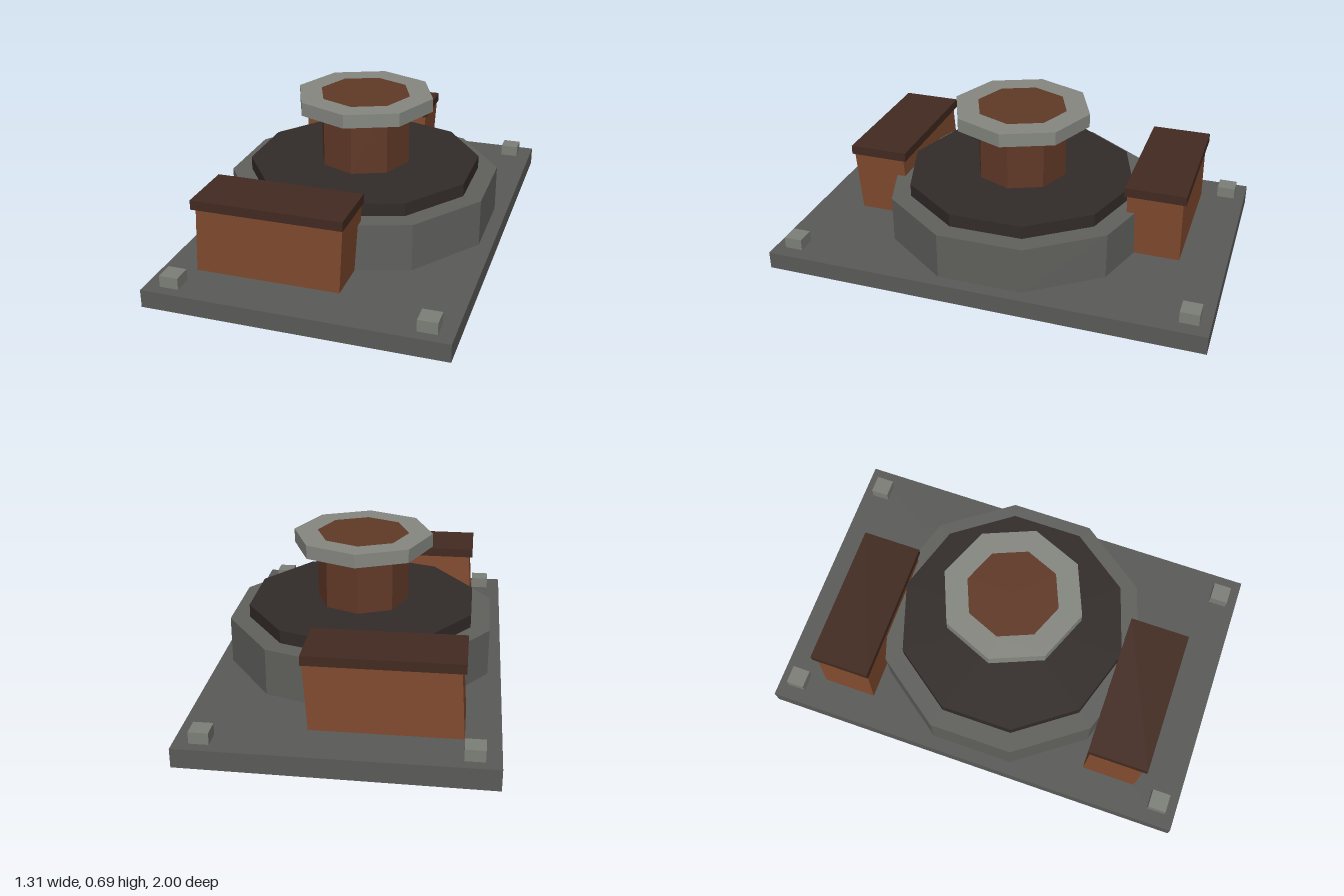
import * as THREE from 'three';

const paint = (color) => new THREE.MeshStandardMaterial({ color, flatShading: true });
const mats = {
  base: paint(0x5a5a58),
  housing: paint(0x60605d),
  disc: paint(0x322b29),
  shaft: paint(0x613927),
  collar: paint(0x868881),
  body: paint(0x824b2f),
  lid: paint(0x422a20),
  bolt: paint(0x7d7f78),
};

export function createModel() {
  const model = new THREE.Group();

  const add = (name, geometry, material) => {
    const mesh = new THREE.Mesh(geometry, material);
    mesh.name = name;
    model.add(mesh);
    return mesh;
  };
  // Box given by its limits on each axis
  const box = (x0, x1, y0, y1, z0, z1) =>
    new THREE.BoxGeometry(x1 - x0, y1 - y0, z1 - z0)
      .translate((x0 + x1) / 2, (y0 + y1) / 2, (z0 + z1) / 2);
  // Faceted drum standing between two heights
  const drum = (radius, y0, y1, sides) =>
    new THREE.CylinderGeometry(radius, radius, y1 - y0, sides).translate(0, (y0 + y1) / 2, 0);
  // Move every vertex by a rule
  const warp = (geometry, rule) => {
    const p = geometry.attributes.position;
    const v = new THREE.Vector3();
    for (let i = 0; i < p.count; i++) {
      rule(v.fromBufferAttribute(p, i));
      p.setXYZ(i, v.x, v.y, v.z);
    }
    geometry.computeVertexNormals();
    return geometry;
  };

  // Base plate, its underside slightly uneven
  add('basePlate', warp(box(-0.655, 0.655, 0, 0.095, -1, 1), (v) => {
    if (v.y < 0.05) v.y = v.z > 0 ? 0.015 : (v.x > 0 ? 0.01 : 0);
  }), mats.base);

  // Ten-sided housing with a dark turntable on top
  add('housing', drum(0.625, 0.095, 0.31, 10), mats.housing);
  add('turntable', drum(0.535, 0.31, 0.37, 10), mats.disc);

  // Eight-sided shaft, flush with the collar around its top
  add('shaft', drum(0.212, 0.37, 0.692, 8), mats.shaft);
  const section = [[0.212, 0.63], [0.32, 0.63], [0.32, 0.692], [0.212, 0.692], [0.212, 0.63]];
  add('collar', new THREE.LatheGeometry(section.map(([x, y]) => new THREE.Vector2(x, y)), 8), mats.collar);

  // Side boxes, leaning a little, under flat lids
  for (const [side, s] of [['front', 1], ['back', -1]]) {
    const body = warp(box(-0.485, 0.155, 0.095, 0.395, 0.54, 0.79), (v) => {
      if (v.y < 0.2) {
        v.x -= 0.02;
        if (s > 0) v.z -= 0.012;
      }
    });
    if (s < 0) body.translate(0, 0, -1.33);
    add(side + 'BoxBody', body, mats.body);
    add(side + 'BoxLid', box(-0.503, 0.16, 0.393, 0.435, s * 0.665 - 0.138, s * 0.665 + 0.138), mats.lid);
  }

  // Corner bolts
  for (const x of [-0.548, 0.548]) {
    for (const z of [-0.91, 0.91]) {
      add('cornerBolt', box(x - 0.042, x + 0.042, 0.095, 0.147, z - 0.042, z + 0.042), mats.bolt);
    }
  }

  return model;
}
